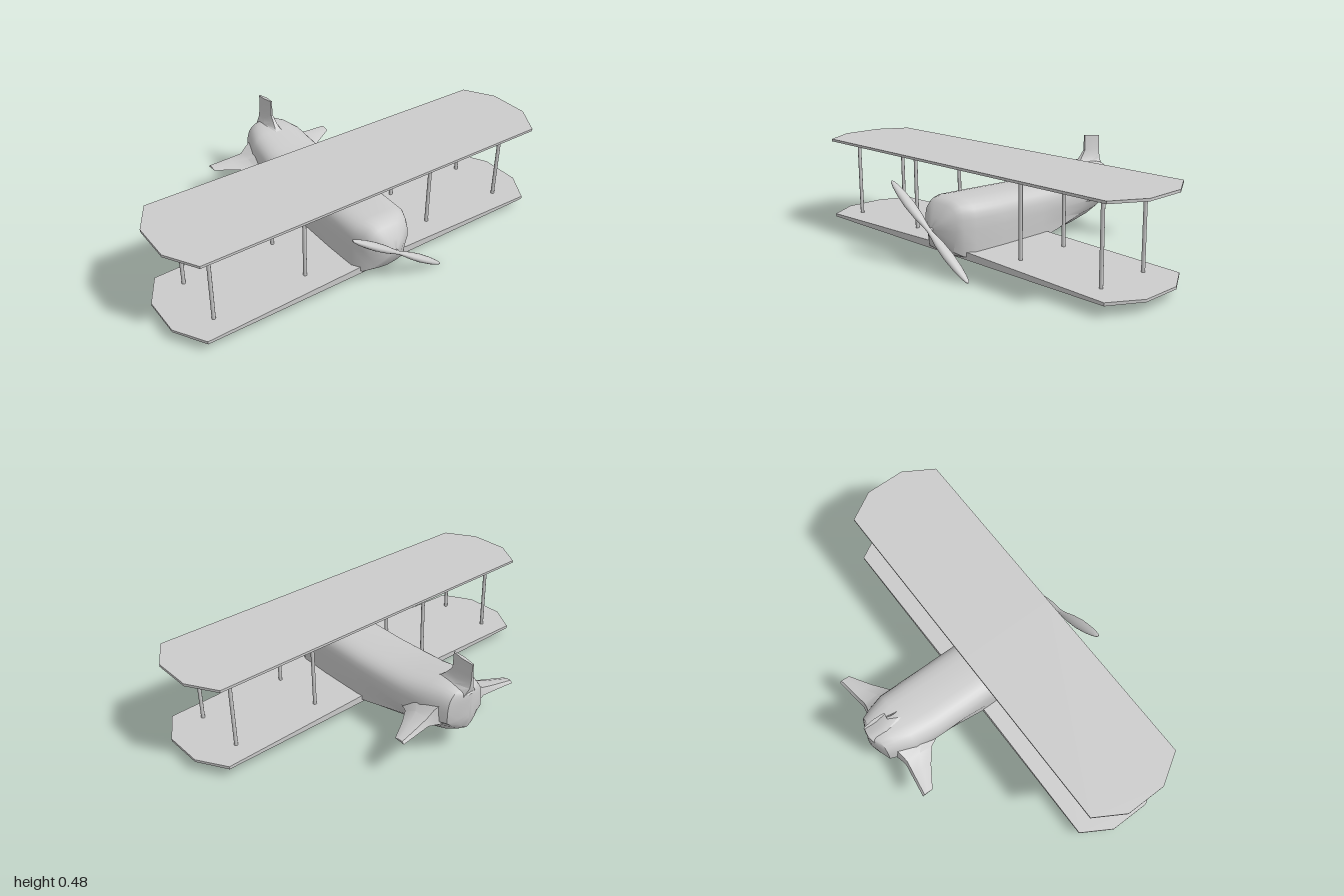
import * as THREE from 'three';
import { toCreasedNormals } from 'three/addons/utils/BufferGeometryUtils.js';

const material = new THREE.MeshStandardMaterial({ color: 0xcccccc });

function part(name, geometry) {
  const mesh = new THREE.Mesh(geometry, material);
  mesh.name = name;
  return mesh;
}

// Skin a list of closed rings ([x, y, z] points) and cap both ends
function loft(rings, crease = 0.6) {
  const n = rings[0].length;
  const pos = rings.flat(2);
  const idx = [];
  for (let i = 0; i < rings.length - 1; i++) {
    for (let j = 0; j < n; j++) {
      const k = (j + 1) % n;
      const a = i * n + j, b = i * n + k;
      idx.push(a, a + n, b, a + n, b + n, b);
    }
  }
  const last = (rings.length - 1) * n;
  for (let j = 1; j < n - 1; j++) {
    idx.push(0, j, j + 1, last, last + j + 1, last + j);
  }
  const g = new THREE.BufferGeometry();
  g.setAttribute('position', new THREE.Float32BufferAttribute(pos, 3));
  g.setIndex(idx);
  return toCreasedNormals(g, crease);
}

// Fuselage: rounded upper half above the belt line, keeled hull below it
function fuselage() {
  // z, top, half width, belt y, chine y, chine half width, keel y
  const sections = [
    [0.552, 0.2, 0.012, 0.19, 0.183, 0.01, 0.178],
    [0.53, 0.238, 0.06, 0.19, 0.14, 0.05, 0.13],
    [0.5, 0.298, 0.108, 0.19, 0.09, 0.085, 0.075],
    [0.47, 0.318, 0.125, 0.19, 0.07, 0.12, 0.06],
    [0.42, 0.322, 0.15, 0.19, 0.065, 0.15, 0.04],
    [0.25, 0.316, 0.16, 0.19, 0.06, 0.155, 0.026],
    [0, 0.308, 0.16, 0.19, 0.06, 0.155, 0.018],
    [-0.15, 0.312, 0.16, 0.19, 0.09, 0.145, 0.028],
    [-0.3, 0.319, 0.16, 0.19, 0.122, 0.135, 0.038],
    [-0.43, 0.345, 0.155, 0.19, 0.135, 0.12, 0.064],
    [-0.51, 0.35, 0.13, 0.19, 0.15, 0.1, 0.085],
    [-0.56, 0.34, 0.11, 0.19, 0.16, 0.08, 0.115],
    [-0.58, 0.33, 0.06, 0.2, 0.17, 0.05, 0.13],
    [-0.595, 0.32, 0.012, 0.22, 0.2, 0.01, 0.19],
  ];
  return loft(sections.map(([z, top, w, belt, cy, cw, keel]) => {
    const half = [];
    for (let i = 0; i <= 8; i++) {
      const a = (i / 8) * Math.PI / 2;
      half.push([w * Math.sin(a) ** 0.6, belt + (top - belt) * Math.max(0, Math.cos(a)) ** 0.6, z]);
    }
    half.push([w * 0.4 + cw * 0.6, (belt + cy) / 2, z], [cw, cy, z],
      [cw * 0.55, cy * 0.35 + keel * 0.65, z], [0, keel, z]);
    const right = half.map(([x, y]) => [-x, y, z]);
    return [...right, ...half.slice(1, -1).reverse()];
  }));
}

// Half of a wing with a clipped tip; the top surface rises toward the root
function wingHalf(side, rise) {
  const outline = [[0, -0.035], [0.915, -0.035], [1, 0.11], [1, 0.31], [0.91, 0.46], [0, 0.46]];
  const shape = new THREE.Shape(outline.map(([x, z]) => new THREE.Vector2(side * x, z)));
  const g = new THREE.ExtrudeGeometry(shape, { depth: 0.012, bevelEnabled: false });
  g.rotateX(Math.PI / 2);
  const p = g.attributes.position;
  for (let i = 0; i < p.count; i++) {
    if (p.getY(i) > -0.006) p.setY(i, p.getY(i) + rise * (1 - Math.abs(p.getX(i))));
  }
  g.computeVertexNormals();
  return g;
}

// Tail fin: stacked sections flaring into the fuselage
function tailFin() {
  // y, half thickness, front z, back z
  const levels = [
    [0.27, 0.12, -0.32, -0.575],
    [0.315, 0.09, -0.37, -0.585],
    [0.35, 0.032, -0.43, -0.594],
    [0.375, 0.02, -0.455, -0.595],
    [0.405, 0.012, -0.48, -0.595],
    [0.478, 0.009, -0.482, -0.595],
  ];
  return loft(levels.map(([y, t, front, back], i) => {
    const mid = front * 0.5 + back * 0.5;
    const lift = i === levels.length - 1 ? 0.007 : 0;
    return [[t, y, mid], [t * 0.4, y + lift, front], [-t * 0.4, y + lift, front],
      [-t, y, mid], [-t * 0.4, y - lift, back], [t * 0.4, y - lift, back]];
  }));
}

// Tailplane half: swept sections thinning toward the tip
function tailplane(side) {
  // x, front z, back z, bottom y, top y
  const spans = [
    [0.08, -0.22, -0.54, 0.17, 0.29],
    [0.145, -0.3, -0.522, 0.18, 0.255],
    [0.18, -0.365, -0.516, 0.187, 0.225],
    [0.25, -0.42, -0.526, 0.189, 0.214],
    [0.352, -0.485, -0.54, 0.19, 0.201],
  ];
  return loft(spans.map(([x, front, back, bottom, top]) => {
    const ring = [[side * x, bottom + 0.004, front], [side * x, top, front * 0.55 + back * 0.45],
      [side * x, top, back + 0.01], [side * x, bottom, back]];
    return side > 0 ? ring : ring.reverse();
  }));
}

// Propeller: two spindle-shaped blades, flattened and tilted
function propeller() {
  const profile = [[0, 0.318], [0.009, 0.31], [0.017, 0.28], [0.024, 0.23], [0.028, 0.16],
    [0.024, 0.09], [0.016, 0.04]];
  const lower = profile.map(([r, s]) => [r, -s]);
  const points = [...lower, [0.012, 0], ...profile.reverse()].map(([r, s]) => new THREE.Vector2(r, s));
  const g = new THREE.LatheGeometry(points, 16);
  g.scale(0.65, 1, 1);
  g.rotateZ(0.957);
  g.translate(0, 0.19, 0.57);
  return g;
}

export function createModel() {
  const model = new THREE.Group();
  model.name = 'biplane';
  model.add(part('fuselage', fuselage()), part('tailFin', tailFin()), part('propeller', propeller()));

  const shaft = part('propellerShaft', new THREE.CylinderGeometry(0.008, 0.008, 0.03, 10));
  shaft.rotation.x = Math.PI / 2;
  shaft.position.set(0, 0.19, 0.555);
  model.add(shaft);

  for (const side of [1, -1]) {
    const label = side > 0 ? 'left' : 'right';
    const upper = part(label + 'UpperWing', wingHalf(side, 0));
    upper.position.y = 0.469;
    const lower = part(label + 'LowerWing', wingHalf(side, 0.028));
    lower.position.y = 0.066;
    model.add(upper, lower, part(label + 'Tailplane', tailplane(side)));

    // Struts between the wings
    for (const x of [0.357, side > 0 ? 0.807 : 0.824]) {
      for (const z of [0.352, 0.074]) {
        const strut = part(label + 'Strut', new THREE.CylinderGeometry(0.009, 0.009, 0.4, 10));
        strut.position.set(side * x, 0.262, z);
        model.add(strut);
      }
    }
  }
  return model;
}
